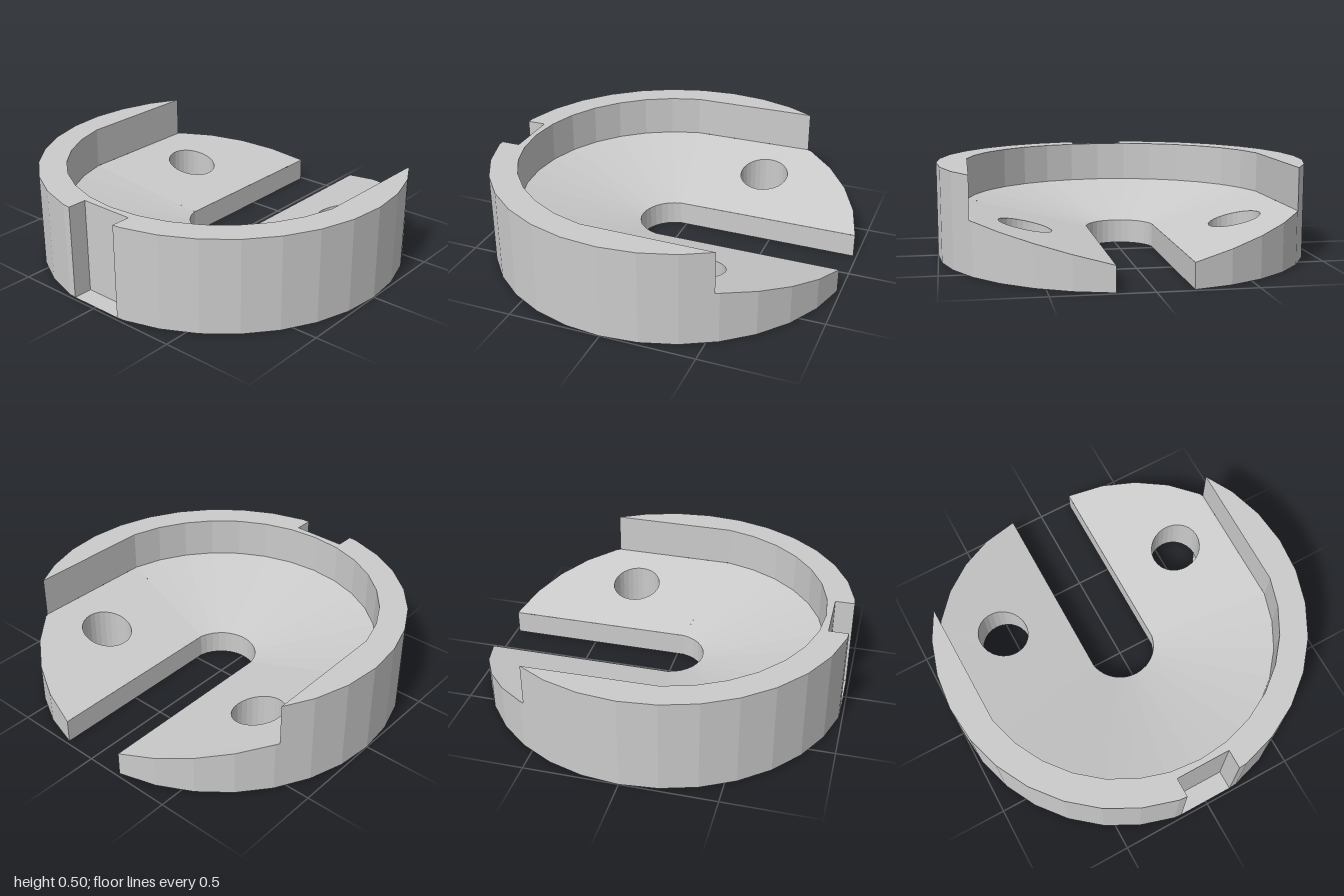
import * as THREE from 'three';

const RIM_TOP = 0.505, SLOT_Y = 0.13, FLOOR_Y = 0.28;
const STEP = Math.PI / 16; // 32-sided outlines

// Plan coordinates are (x, v) with v = -z, so outlines run anticlockwise from above.
const P = (x, v) => new THREE.Vector2(x, v);
const arc = (r, from, to) => {
  const pts = [];
  for (let k = from; k <= to; k++) pts.push(P(r * Math.cos(k * STEP), r * Math.sin(k * STEP)));
  return pts;
};
const circle = (x, v, r, start, end, n) => {
  const pts = [];
  for (let i = 0; i <= n; i++) {
    const a = THREE.MathUtils.degToRad(start + (end - start) * i / n);
    pts.push(P(x + r * Math.cos(a), v + r * Math.sin(a)));
  }
  return pts;
};
const flip = pts => pts.map(p => P(p.x, -p.y));

// Height of the sloping floor over the straight part of the slot
const floorY = p => Math.min(FLOOR_Y, SLOT_Y + (FLOOR_Y - SLOT_Y) * (Math.abs(p.y) - 0.186) / 0.648);

// Ruled surface between two plan paths; outside lies to the right of travel
function strip(low, lowY, high, highY) {
  const pos = [];
  const put = (p, y) => pos.push(p.x, y(p), -p.y);
  for (let i = 0; i < low.length - 1; i++) {
    put(low[i], lowY); put(low[i + 1], lowY); put(high[i + 1], highY);
    put(low[i], lowY); put(high[i + 1], highY); put(high[i], highY);
  }
  const g = new THREE.BufferGeometry();
  g.setAttribute('position', new THREE.Float32BufferAttribute(pos, 3));
  g.computeVertexNormals();
  return g;
}

// Flat outline laid at a height given by a rule
function sheet(outline, holes, height) {
  const shape = new THREE.Shape(outline);
  shape.holes = holes.map(h => new THREE.Path(h));
  const g = new THREE.ShapeGeometry(shape).rotateX(-Math.PI / 2);
  const pos = g.attributes.position;
  for (let i = 0; i < pos.count; i++) pos.setY(i, height(P(pos.getX(i), -pos.getZ(i))));
  g.computeVertexNormals();
  return g;
}

export function createModel() {
  const group = new THREE.Group();
  const add = (name, geometry, side = THREE.FrontSide) => {
    const material = new THREE.MeshStandardMaterial({ color: 0xcccccc, flatShading: true, side });
    const mesh = new THREE.Mesh(geometry, material);
    mesh.name = name;
    group.add(mesh);
  };
  const at = y => () => y;

  // Main outlines
  const mouth = P(0.982, 0.187), rimEnd = P(0.535, 0.842);
  const mouthB = P(0.982, -0.187), rimEndB = P(0.535, -0.842);
  const slotArc = arc(0.19, 9, 23), bowlArc = arc(0.85, 9, 23);
  const slot = [mouth, ...slotArc, mouthB];
  const bowl = [rimEnd, ...bowlArc, rimEndB];
  const lip = [mouth, ...arc(1, 2, 5), rimEnd];
  const notchOuter = [P(-0.984, 0.152), P(-0.984, -0.152)];
  const rimOuter = [rimEnd, ...arc(1, 6, 15), notchOuter[0], P(-0.88, 0.152),
    P(-0.88, -0.152), notchOuter[1], ...arc(1, 17, 26), rimEndB];

  // Raised rim with the notch cut in its side
  add('rimOuterWall', strip(rimOuter, at(0), rimOuter, at(RIM_TOP)));
  const bowlBack = [...bowl].reverse();
  add('rimInnerWall', strip(bowlBack, floorY0, bowlBack, at(RIM_TOP)));
  add('rimTop', sheet([...rimOuter, ...bowlBack.slice(1, -1)], [], at(RIM_TOP)));

  // Conical floor round the end of the slot
  const slotBack = [...slot].reverse();
  add('conicalFloor', strip([...slotArc].reverse(), at(SLOT_Y), [...bowlArc].reverse(), at(FLOOR_Y)));
  add('slotWall', strip(slotBack, at(0), slotBack, at(SLOT_Y)));

  // Sloping floor, low outer wall and bolt hole on each side of the slot
  for (const s of [1, -1]) {
    const side = s > 0 ? 'back' : 'front';
    const outline = [slotArc[0], ...lip, bowlArc[0]];
    const hole = circle(0.348, s * 0.555, 0.137, 360, 0, 28);
    add(side + 'Floor', sheet(s > 0 ? outline : flip(outline), [hole.slice(0, -1)], floorY));
    const edge = s > 0 ? lip : flip(lip).reverse();
    add(side + 'LipWall', strip(edge, at(0), edge, floorY));
    add(side + 'HoleWall', strip(hole, at(0), hole, floorY));
  }

  // Underside, which also closes the notch; each hole has a small straight chord here
  const under = [mouth, ...arc(1, 2, 15), ...notchOuter, ...arc(1, 17, 30), ...slotBack.slice(0, -1)];
  add('underside', sheet(under, [
    circle(0.348, 0.555, 0.137, 138, 450, 24),
    circle(0.348, -0.555, 0.137, -90, 199, 24),
  ], at(0)), THREE.DoubleSide);

  return group;
}

// Foot of the rim's inner wall
function floorY0() { return FLOOR_Y; }
